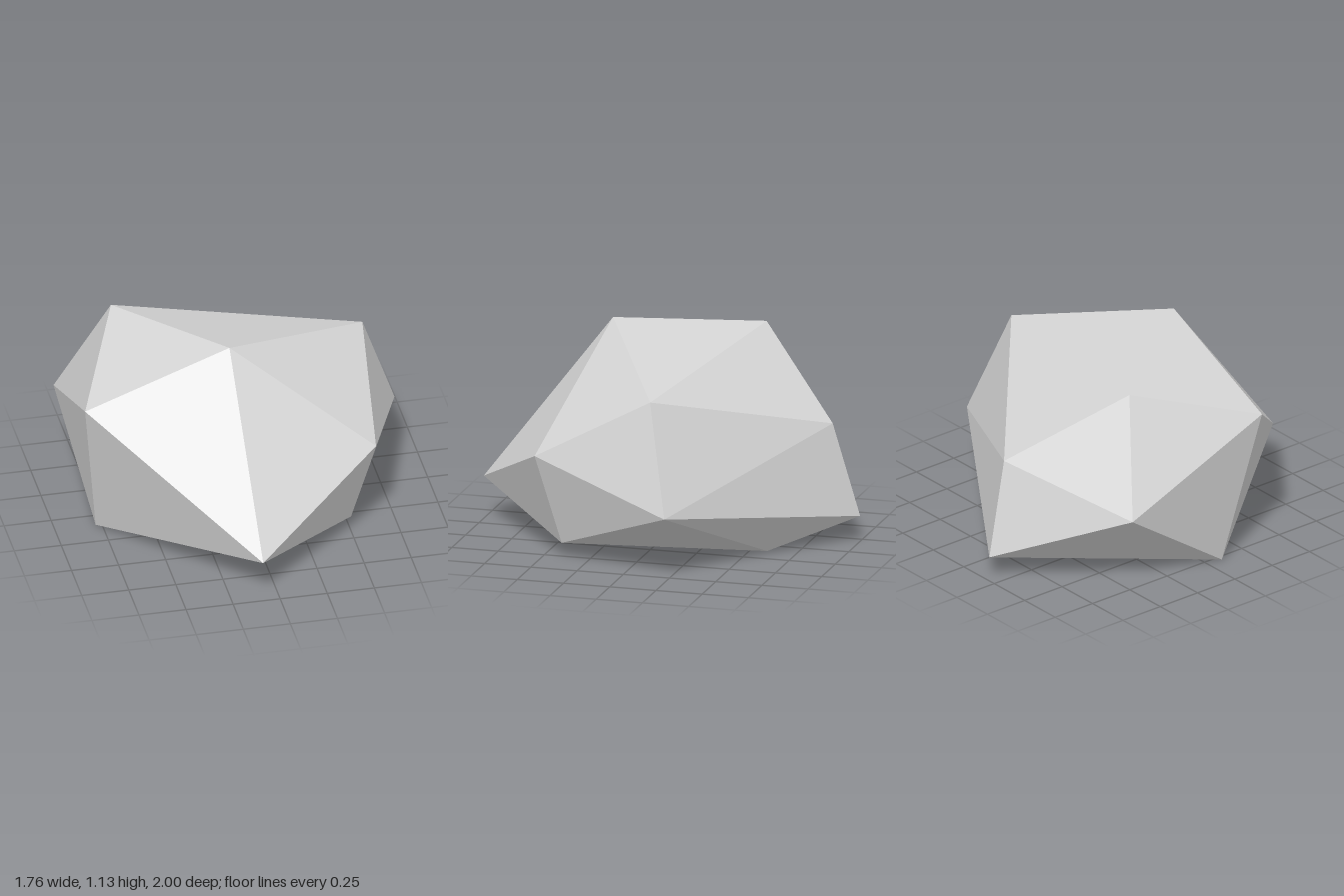
import * as THREE from 'three';
import { ConvexGeometry } from 'three/addons/geometries/ConvexGeometry.js';

// A faceted boulder: the convex skin around a few corner points.
export function createModel() {
  const group = new THREE.Group();
  group.name = 'boulder';

  const stone = new THREE.MeshStandardMaterial({ color: 0xd4d4d4 });
  stone.name = 'pale grey stone';

  const corners = [
    // crown
    [-0.12, 1.13, 0.31], [-0.60, 1.035, -0.38], [0.68, 0.917, -0.125], [-0.88, 0.822, 0.28],
    // flanks
    [-0.165, 0.637, -0.865], [0.613, 0.56, 0.52], [-0.863, 0.46, -0.573], [0.88, 0.35, -0.26],
    // front and back tips
    [-0.09, 0.23, 1.0], [-0.21, 0.137, -1.0],
    // underside
    [0.505, 0.073, 0.405], [0.14, 0.01, -0.60], [-0.783, 0, 0.09], [-0.03, 0, 0.25],
  ].map((p) => new THREE.Vector3(...p));

  const rock = new THREE.Mesh(new ConvexGeometry(corners), stone);
  rock.name = 'rock';
  group.add(rock);
  return group;
}
